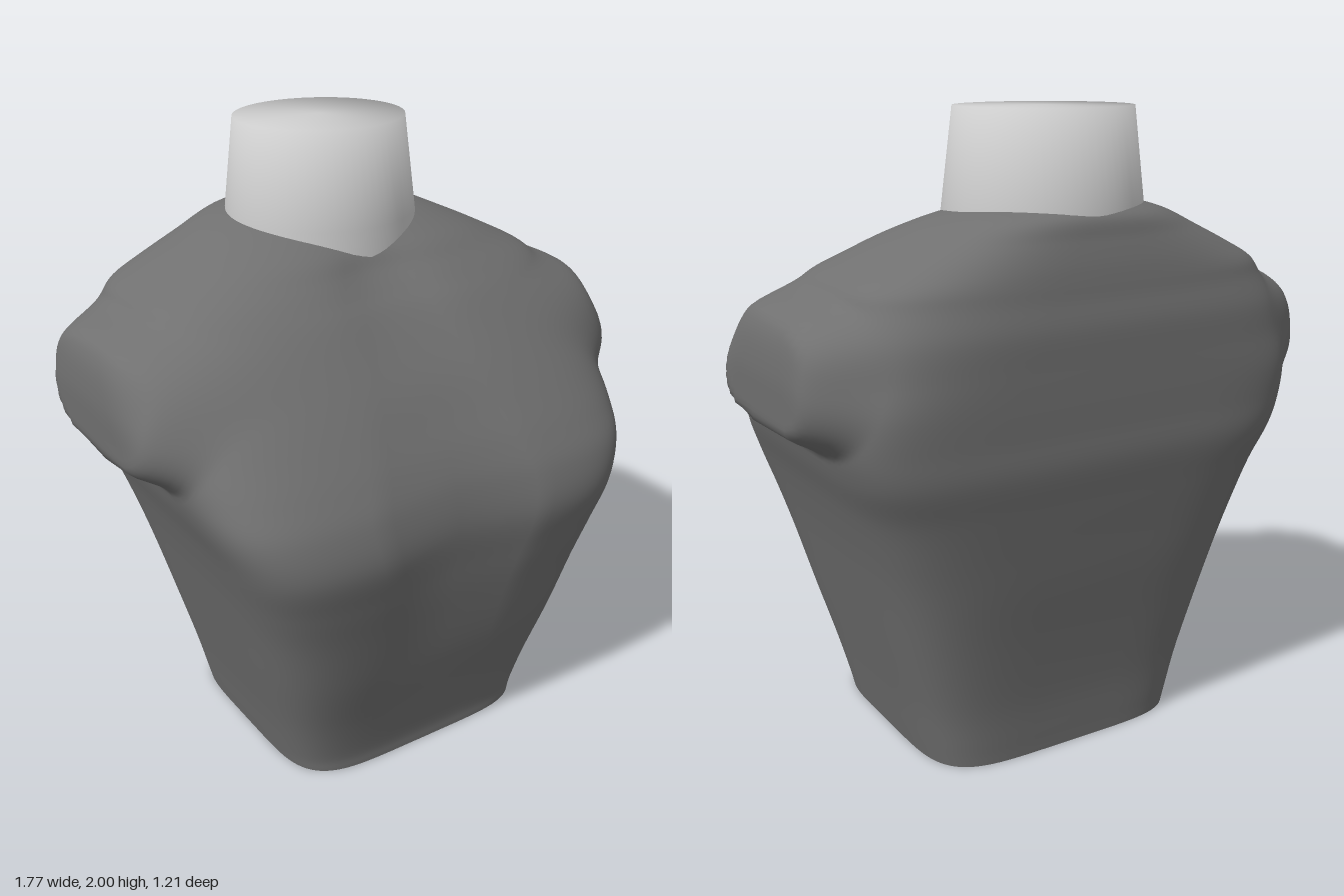
import * as THREE from 'three';

// Torso levels: y, half width, front z, back z, front squareness, back squareness, depth of the chest valley
const LEVELS = [
  [0, 0.46, 0.40, -0.44, 5, 5, 0],
  [0.06, 0.475, 0.405, -0.445, 5, 5, 0],
  [0.2, 0.51, 0.44, -0.46, 5, 5, 0],
  [0.4, 0.565, 0.50, -0.495, 5, 5, 0.01],
  [0.6, 0.62, 0.55, -0.535, 5, 5, 0.03],
  [0.74, 0.66, 0.583, -0.56, 5.3, 5.3, 0.05],
  [0.88, 0.705, 0.607, -0.585, 5.7, 5.7, 0.065],
  [1.0, 0.75, 0.58, -0.605, 5.7, 6.5, 0.055],
  [1.1, 0.775, 0.525, -0.605, 5, 7, 0.04],
  [1.2, 0.78, 0.455, -0.605, 4.5, 7, 0.03],
  [1.3, 0.78, 0.38, -0.603, 4, 5.5, 0.02],
  [1.4, 0.765, 0.30, -0.60, 3.7, 4.5, 0.025],
  [1.48, 0.725, 0.235, -0.585, 3.4, 3.9, 0.035],
  [1.53, 0.69, 0.187, -0.577, 3.2, 3.6, 0.045],
  [1.58, 0.60, 0.137, -0.567, 3, 3.3, 0.05],
  [1.64, 0.475, 0.07, -0.55, 2.8, 3, 0.035],
  [1.7, 0.335, -0.05, -0.53, 2.5, 2.7, 0.01],
  [1.735, 0.2, -0.2, -0.47, 2, 2, 0],
];

// Arm stump: how far a point at (y, z) is pushed out sideways, inside a soft rounded oval
function stump(y, z) {
  const d = Math.cbrt(Math.abs((z + 0.1) / 0.42) ** 3 + Math.abs((y - 1.28) / 0.22) ** 3);
  return 1.13 - 0.13 * THREE.MathUtils.smoothstep(d, 0.7, 1.08);
}

function torsoGeometry() {
  const around = 120, perLevel = 6;
  const rows = (LEVELS.length - 1) * perLevel;
  const spline = new THREE.CubicInterpolant(LEVELS.map((_, i) => i), LEVELS.flat(), 7);
  const positions = [], index = [];

  for (let r = 0; r <= rows; r++) {
    const [y, w, front, back, nFront, nBack, valley] = spline.evaluate(r / perLevel);
    const mid = (front + back) / 2, half = (front - back) / 2;
    for (let a = 0; a < around; a++) {
      const t = (a / around) * Math.PI * 2;
      const s = Math.sin(t), c = Math.cos(t);
      // Rounded rectangle, with the valley pressed into the front middle
      const n = c > 0 ? nFront : nBack;
      let x = w * Math.sign(s) * Math.abs(s) ** (2 / n);
      let z = mid + half * Math.sign(c) * Math.abs(c) ** (2 / n);
      x *= stump(y, z);
      if (c > 0) z -= valley * Math.exp(-((x / 0.14) ** 2));
      positions.push(x, y, z);
    }
  }
  for (let r = 0; r < rows; r++) {
    for (let a = 0; a < around; a++) {
      const p = r * around + a, q = r * around + ((a + 1) % around);
      index.push(p, q, q + around, p, q + around, p + around);
    }
  }
  const geometry = new THREE.BufferGeometry();
  geometry.setAttribute('position', new THREE.Float32BufferAttribute(positions, 3));
  geometry.setIndex(index);
  geometry.computeVertexNormals();
  return geometry;
}

export function createModel() {
  const model = new THREE.Group();
  model.name = 'bust';

  // Hollow torso, open at the waist
  const torso = new THREE.Mesh(
    torsoGeometry(),
    new THREE.MeshStandardMaterial({ color: 0x707070, side: THREE.DoubleSide })
  );
  torso.name = 'torso';

  // Oval neck, tapering up to a flat top that shares the smooth shading
  const profile = [[0.322, 1.52], [0.311, 1.7], [0.275, 2], [0, 2]];
  const neck = new THREE.Mesh(
    new THREE.LatheGeometry(profile.map(([r, y]) => new THREE.Vector2(r, y)), 64),
    new THREE.MeshStandardMaterial({ color: 0xcccccc })
  );
  neck.name = 'neck';
  neck.scale.z = 0.94;
  neck.position.z = -0.235;

  model.add(torso, neck);
  return model;
}
